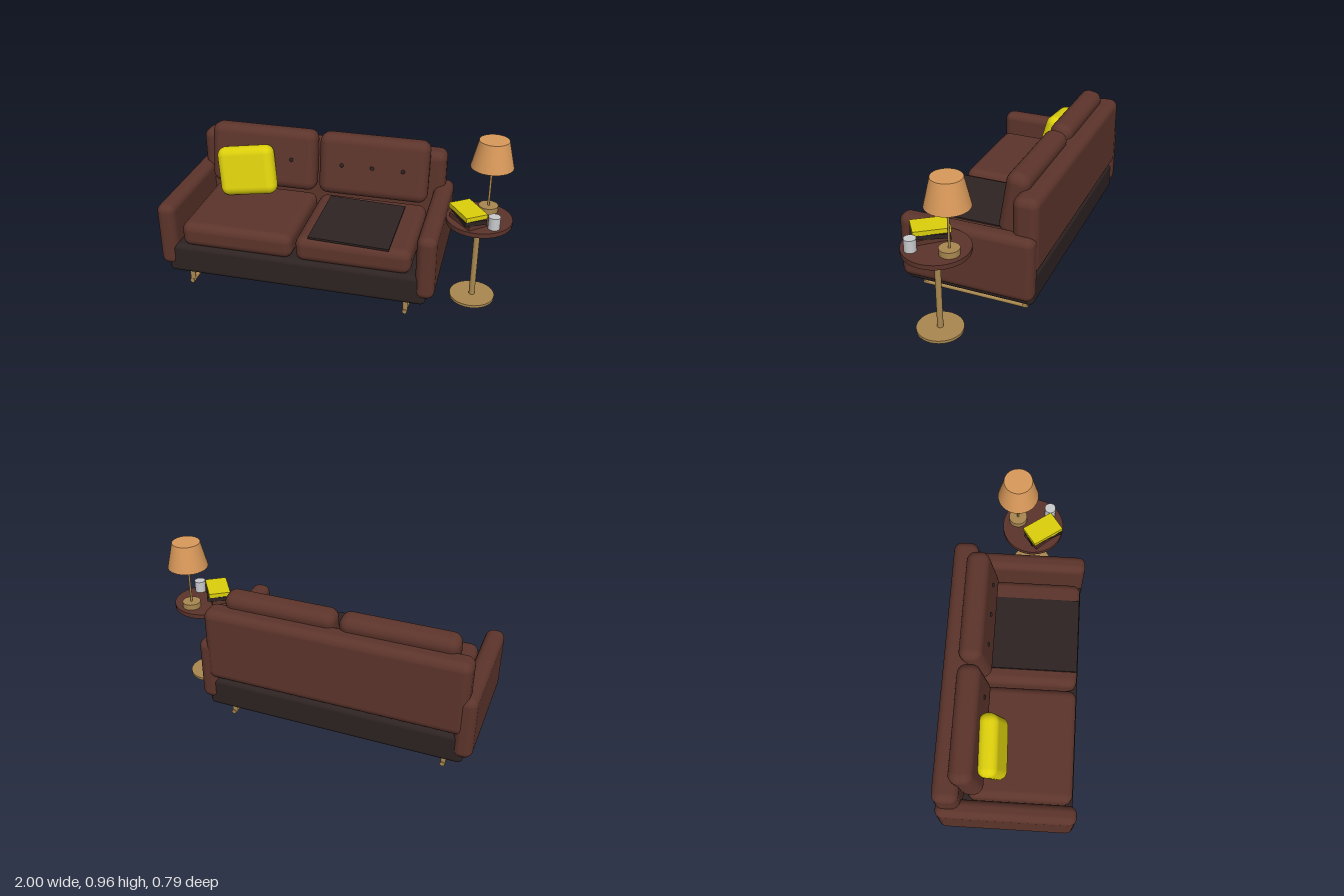
import * as THREE from 'three';
import { RoundedBoxGeometry } from 'three/addons/geometries/RoundedBoxGeometry.js';

const mat = (name, color) => {
  const m = new THREE.MeshStandardMaterial({ color });
  m.name = name;
  return m;
};

export function createModel() {
  const brown = mat('brown leather', 0x5c342b);
  const dark = mat('dark fabric', 0x2d2322);
  const brass = mat('brass', 0xa98850);
  const tan = mat('lampshade tan', 0xd9995a);
  const yellow = mat('yellow fabric', 0xdccf0c);
  const white = mat('cup white', 0xc9cbcd);

  const model = new THREE.Group();
  model.name = 'sofaAndSideTable';

  const add = (name, geometry, material, x, y, z, parent = model) => {
    const mesh = new THREE.Mesh(geometry, material);
    mesh.name = name;
    mesh.position.set(x, y, z);
    parent.add(mesh);
    return mesh;
  };
  // Soft-edged block
  const soft = (name, size, radius, material, x, y, z, parent) =>
    add(name, new RoundedBoxGeometry(size[0], size[1], size[2], 4, radius), material, x, y, z, parent);
  // Upright round part between two heights
  const round = (name, rTop, rBottom, y0, y1, material, x, z, parent) =>
    add(name, new THREE.CylinderGeometry(rTop, rBottom, y1 - y0, 32), material, x, (y0 + y1) / 2, z, parent);

  // Sofa frame
  const sofa = new THREE.Group();
  sofa.name = 'sofa';
  model.add(sofa);
  const cx = -0.187;
  soft('base', [1.53, 0.185, 0.76], 0.03, dark, cx, 0.193, 0.005, sofa);
  soft('backrest', [1.53, 0.455, 0.145], 0.05, brown, cx, 0.518, -0.318, sofa);
  for (const side of [-1, 1]) {
    soft('arm', [0.11, 0.39, 0.78], 0.045, brown, cx + side * 0.757, 0.34, 0.005, sofa);

    // Sled legs
    const lx = cx + side * 0.648;
    for (const z of [0.322, -0.288]) round('leg', 0.015, 0.015, 0.01, 0.11, brass, lx, z, sofa);
    const runner = add('legRunner', new THREE.CylinderGeometry(0.014, 0.014, 0.645, 24), brass, lx, 0.016, 0.017, sofa);
    runner.rotation.x = Math.PI / 2;

    // Seat and back cushions
    const sx = cx + side * 0.342;
    soft('seatCushion', [0.664, 0.15, 0.6], 0.05, brown, sx, 0.35, 0.075, sofa);
    const back = new THREE.Group();
    back.name = 'backCushion';
    back.position.set(sx, 0.637, -0.216);
    back.rotation.x = -0.16;
    sofa.add(back);
    soft('backCushionPad', [0.664, 0.376, 0.135], 0.055, brown, 0, 0, 0, back);
    for (const bx of [-0.185, 0, 0.185]) {
      const button = add('cushionButton', new THREE.SphereGeometry(0.012, 16, 10), dark, bx, 0.006, 0.069, back);
      button.scale.z = 0.7;
    }
  }

  // Throw blanket and loose pillow
  const blanket = add('blanket', new THREE.BoxGeometry(0.46, 0.012, 0.51), dark, 0.135, 0.434, 0.115, sofa);
  blanket.rotation.z = -0.03;
  const pillow = soft('pillow', [0.355, 0.3, 0.115], 0.052, yellow, -0.605, 0.585, -0.086, sofa);
  pillow.rotation.set(-0.23, 0, 0.15);

  // Side table
  const table = new THREE.Group();
  table.name = 'sideTable';
  model.add(table);
  round('tableFoot', 0.13, 0.13, 0.004, 0.02, brass, 0.812, 0.062, table);
  round('tablePole', 0.017, 0.017, 0.02, 0.505, brass, 0.812, 0.062, table);
  round('tableTop', 0.185, 0.185, 0.503, 0.53, brown, 0.815, 0.062, table);

  // Lamp
  const lamp = new THREE.Group();
  lamp.name = 'lamp';
  model.add(lamp);
  round('lampBase', 0.055, 0.055, 0.53, 0.565, brass, 0.855, -0.033, lamp);
  round('lampPole', 0.0065, 0.0065, 0.56, 0.82, brass, 0.855, -0.033, lamp);
  round('lampShade', 0.083, 0.12, 0.806, 0.963, tan, 0.855, -0.033, lamp);

  // Stacked books, each turned a little
  const books = [
    [0.115, 0.19, 0.544, brown, 0.72, 0.757],
    [0.125, 0.205, 0.571, dark, 0.5, 0.76],
    [0.13, 0.2, 0.598, yellow, 0.62, 0.755],
  ];
  for (const [w, d, y, material, turn, x] of books) {
    add('book', new THREE.BoxGeometry(w, 0.026, d), material, x, y, 0.123).rotation.y = turn;
  }

  // Cup
  round('cup', 0.033, 0.033, 0.53, 0.601, white, 0.903, 0.162);

  return model;
}
